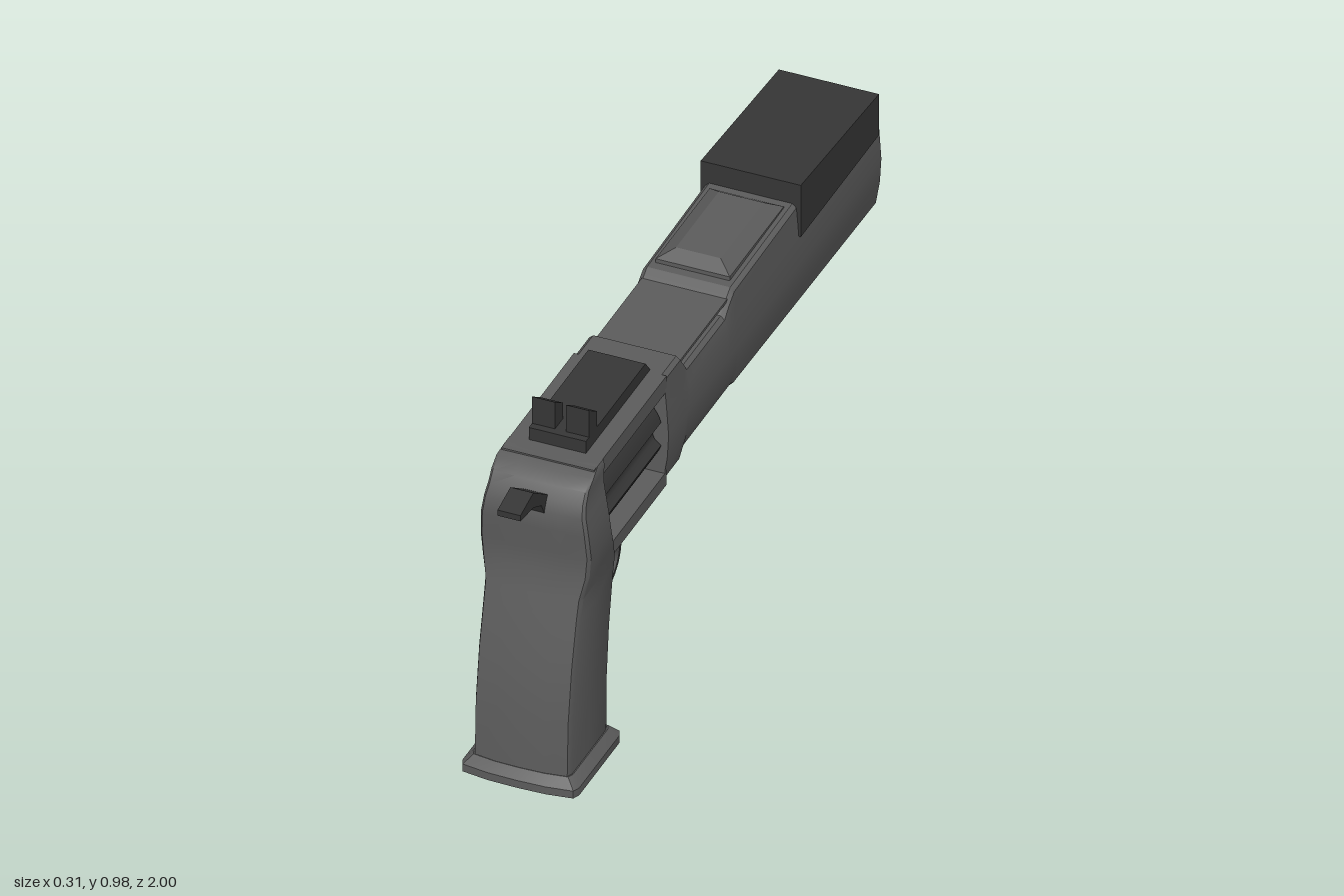
import * as THREE from 'three';
import { toCreasedNormals } from 'three/addons/utils/BufferGeometryUtils.js';

const gunmetal = new THREE.MeshStandardMaterial({ color: 0x5c5c5c });
gunmetal.name = 'gunmetal';
const blackSteel = new THREE.MeshStandardMaterial({ color: 0x363636 });
blackSteel.name = 'blackSteel';
const boreSteel = new THREE.MeshStandardMaterial({ color: 0x5c5c5c, side: THREE.BackSide });
boreSteel.name = 'boreSteel';

// Joins closed rings of [x, y, z] points; the signed volume decides the winding
function loft(rings, capStart = true, capEnd = true) {
  const n = rings[0].length;
  const tris = [];
  for (let r = 0; r < rings.length - 1; r++) {
    for (let i = 0; i < n; i++) {
      const j = (i + 1) % n;
      const [a, b, c, d] = [rings[r][i], rings[r][j], rings[r + 1][j], rings[r + 1][i]];
      tris.push([a, b, c], [a, c, d]);
    }
  }
  const last = rings[rings.length - 1];
  for (let i = 1; i < n - 1; i++) {
    if (capStart) tris.push([rings[0][0], rings[0][i + 1], rings[0][i]]);
    if (capEnd) tris.push([last[0], last[i], last[i + 1]]);
  }
  const centre = new THREE.Vector3();
  rings.flat().forEach((p) => centre.add(new THREE.Vector3(...p)));
  centre.divideScalar(n * rings.length);
  let volume = 0;
  for (const t of tris) {
    const [a, b, c] = t.map((p) => new THREE.Vector3(...p).sub(centre));
    volume += a.dot(b.cross(c));
  }
  if (volume < 0) tris.forEach((t) => t.reverse());
  const geometry = new THREE.BufferGeometry();
  geometry.setAttribute('position', new THREE.Float32BufferAttribute(tris.flat(2), 3));
  return toCreasedNormals(geometry, 0.45);
}

const shapeOf = (points) => new THREE.Shape(points.map((p) => new THREE.Vector2(...p)));

// Side profile in [z, y], extruded across x
function profile(shape, halfWidth, centreX = 0) {
  return new THREE.ExtrudeGeometry(shape, { depth: halfWidth * 2, bevelEnabled: false })
    .rotateY(-Math.PI / 2).translate(centreX + halfWidth, 0, 0);
}

// Horizontal handle section: bowed front and back with narrow chamfers
function gripRing([y, back, front, w]) {
  const half = [[0, 1], [0.5, 0.985], [0.95, 0.92], [1, 0.8], [1, 0], [1, -0.8], [0.95, -0.92], [0.5, -0.985], [0, -1]];
  const loop = [...half, ...half.slice(1, -1).reverse().map(([u, v]) => [-u, v])];
  return loop.map(([u, v]) => [u * w, y, (back + front) / 2 + v * (back - front) / 2]);
}

// Upright barrel section with bowed sides
function barrelSide(bottom, top) {
  return [[0.1, bottom], [0.12, bottom + 0.02], [0.131, 0.62], [0.135, 0.69], [0.13, 0.765], [0.123, top - 0.01], [0.112, top]];
}
function barrelLoop(bottom, top) {
  const side = barrelSide(bottom, top);
  return [...side, ...side.slice().reverse().map(([x, y]) => [-x, y])];
}

// Rectangle ring on a horizontal plane
const rect = (w, y, z0, z1) => [[w, y, z0], [w, y, z1], [-w, y, z1], [-w, y, z0]];

export function createModel() {
  const model = new THREE.Group();
  model.name = 'revolver';
  const add = (name, geometry, material) => {
    const mesh = new THREE.Mesh(geometry, material);
    mesh.name = name;
    model.add(mesh);
    return mesh;
  };

  // Handle, rising into the rounded back of the frame: y, back z, front z, half width
  add('grip', loft([
    [0.04, 0.936, 0.672, 0.131], [0.2, 0.93, 0.67, 0.131], [0.35, 0.908, 0.656, 0.131],
    [0.48, 0.878, 0.634, 0.131], [0.53, 0.865, 0.625, 0.132], [0.59, 0.85, 0.66, 0.144],
    [0.65, 0.848, 0.69, 0.149], [0.72, 0.855, 0.7, 0.145], [0.77, 0.853, 0.7, 0.137],
    [0.8, 0.838, 0.7, 0.132], [0.83, 0.818, 0.7, 0.131], [0.85, 0.785, 0.7, 0.131], [0.862, 0.745, 0.7, 0.126],
  ].map(gripRing)), gunmetal);
  add('gripBase', loft([
    [0, 0.957, 0.645, 0.157], [0.022, 0.957, 0.645, 0.157], [0.047, 0.937, 0.668, 0.134],
  ].map(gripRing)), gunmetal);

  // Frame with the window around the drum
  const frame = shapeOf([[0.75, 0.535], [0.31, 0.535], [0.31, 0.862], [0.76, 0.862]]);
  frame.holes.push(new THREE.Path([[0.7, 0.575], [0.7, 0.815], [0.32, 0.815], [0.32, 0.575]]
    .map((p) => new THREE.Vector2(...p))));
  add('frame', profile(frame, 0.125), gunmetal);

  // Fluted drum
  const drum = new THREE.Shape();
  for (let i = 0; i < 6; i++) {
    const a = i * Math.PI / 3;
    for (let k = -3; k <= 3; k++) {
      const t = a + k * 0.095;
      const r = 0.122 - 0.028 * Math.sqrt(1 - (k / 3) ** 2);
      drum[i === 0 && k === -3 ? 'moveTo' : 'lineTo'](Math.cos(t) * r, Math.sin(t) * r);
    }
    for (const t of [a + 0.41, a + 0.524, a + 0.64]) drum.lineTo(Math.cos(t) * 0.122, Math.sin(t) * 0.122);
  }
  const drumGeometry = new THREE.ExtrudeGeometry(drum, { depth: 0.37, bevelEnabled: false });
  add('drum', toCreasedNormals(drumGeometry, 0.5), blackSteel).position.set(0, 0.695, 0.325);

  // Barrel with a step along its top: z, bottom, top
  add('barrel', loft([
    [0.32, 0.535, 0.862], [0.22, 0.535, 0.862], [0.197, 0.56, 0.832], [0.18, 0.56, 0.808],
    [-0.055, 0.56, 0.808], [-0.08, 0.56, 0.832], [-0.1, 0.56, 0.846], [-0.115, 0.552, 0.856], [-1, 0.533, 0.875],
  ].map(([z, b, t]) => barrelLoop(b, t).map(([x, y]) => [x, y, z])), true, false), gunmetal);

  // Muzzle face and bore
  const muzzle = shapeOf(barrelLoop(0.533, 0.875));
  muzzle.holes.push(new THREE.Path().absarc(0, 0.7, 0.087, 0, Math.PI * 2, true));
  add('muzzle', new THREE.ShapeGeometry(muzzle, 20).rotateY(Math.PI), gunmetal).position.z = -1;
  add('bore', new THREE.CylinderGeometry(0.087, 0.087, 0.7, 40).rotateX(Math.PI / 2)
    .translate(0, 0.7, -0.65), boreSteel);
  // Leave the muzzle end of the bore open
  const bore = model.getObjectByName('bore');
  bore.geometry.dispose();
  bore.geometry = new THREE.CylinderGeometry(0.087, 0.087, 0.7, 40, 1, true).rotateX(Math.PI / 2).translate(0, 0.7, -0.65);
  add('boreEnd', new THREE.CircleGeometry(0.087, 40).rotateY(Math.PI), gunmetal).position.set(0, 0.7, -0.3);

  // Thin rail bridging the vent, and the raised panel ahead of it
  add('ventRail', new THREE.BoxGeometry(0.23, 0.008, 0.3), gunmetal).position.set(0, 0.834, 0.06);
  add('topPanel', loft([rect(0.1, 0.85, -0.475, -0.14), rect(0.1, 0.868, -0.475, -0.14),
    rect(0.06, 0.891, -0.44, -0.175)]), gunmetal);

  // Front sight shroud
  add('frontShroud', profile(shapeOf([[-0.5, 0.77], [-0.985, 0.77], [-0.985, 0.893], [-0.5, 0.925]]), 0.135), blackSteel);

  // Rear sight plate and its two posts
  add('rearSightPlate', profile(shapeOf([[0.7, 0.855], [0.295, 0.855], [0.33, 0.898], [0.7, 0.898]]), 0.077), blackSteel);
  const post = shapeOf([[0.68, 0.89], [0.63, 0.89], [0.63, 0.945], [0.68, 0.978]]);
  for (const side of [-1, 1]) {
    add(side > 0 ? 'leftSightPost' : 'rightSightPost', profile(post, 0.031, side * 0.046), blackSteel);
  }

  // Hammer
  add('hammer', profile(shapeOf([[1, 0.852], [0.92, 0.87], [0.83, 0.808], [0.8, 0.76], [0.85, 0.762],
    [0.87, 0.8], [0.92, 0.825], [1, 0.835]]), 0.031), blackSteel);

  // Trigger guard: a flat band with its mount
  const band = [[0.084, -0.06], [0.094, -0.06], [0.094, 0.06], [0.084, 0.06], [0.084, -0.06]]
    .map((p) => new THREE.Vector2(...p));
  const ring = toCreasedNormals(new THREE.LatheGeometry(band, 40), 0.5).rotateZ(Math.PI / 2);
  add('triggerGuard', ring, blackSteel).position.set(0, 0.434, 0.534);
  add('guardMount', profile(shapeOf([[0.66, 0.54], [0.66, 0.46], [0.63, 0.46], [0.6, 0.505], [0.54, 0.524],
    [0.47, 0.505], [0.45, 0.505], [0.45, 0.54]]), 0.06), blackSteel);

  // Trigger
  add('trigger', profile(shapeOf([[0.565, 0.53], [0.49, 0.53], [0.49, 0.508], [0.54, 0.488], [0.538, 0.45],
    [0.514, 0.4], [0.522, 0.398], [0.547, 0.445], [0.553, 0.49]]), 0.025), blackSteel);

  return model;
}
